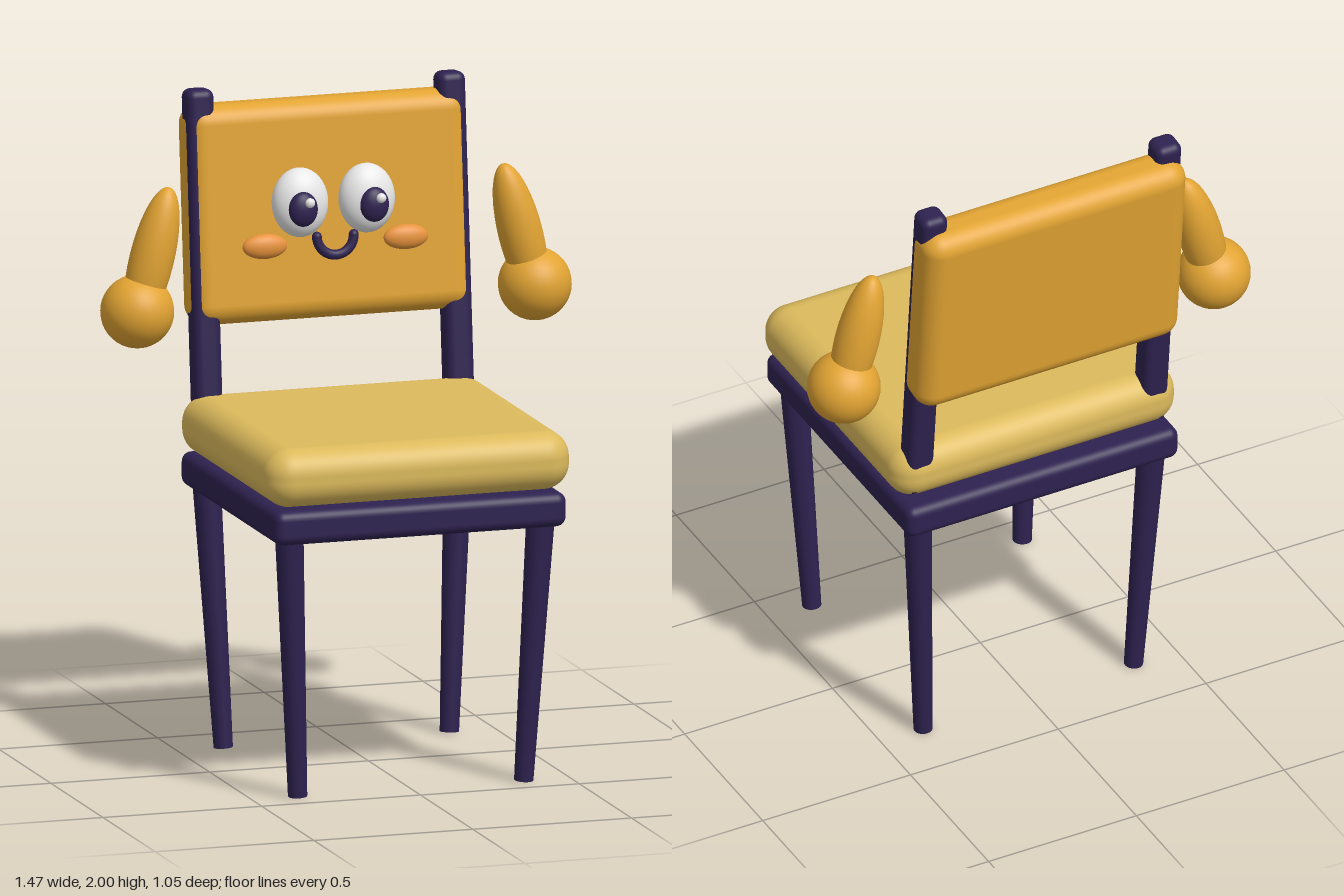
import * as THREE from 'three';
import { RoundedBoxGeometry } from 'three/addons/geometries/RoundedBoxGeometry.js';

const flat = (name, color) => {
  const m = new THREE.MeshStandardMaterial({ color });
  m.name = name;
  return m;
};

export function createModel() {
  const model = new THREE.Group();
  model.name = 'chairCharacter';

  const wood = flat('darkPurple', 0x2e2250);
  const orange = flat('goldenOrange', 0xe2a433);
  const cushionMat = flat('paleGold', 0xdcba5c);
  const white = flat('eyeWhite', 0xf4f4f4);
  const blush = flat('blushOrange', 0xe8933c);

  const add = (name, geometry, material, x, y, z, parent = model) => {
    const mesh = new THREE.Mesh(geometry, material);
    mesh.name = name;
    mesh.position.set(x, y, z);
    parent.add(mesh);
    return mesh;
  };
  const ellipsoid = (rx, ry, rz) => new THREE.SphereGeometry(1, 32, 20).scale(rx, ry, rz);
  const up = new THREE.Vector3(0, 1, 0);
  const lean = -0.095; // backward tilt of the backrest

  // Seat
  add('seatFrame', new RoundedBoxGeometry(0.92, 0.105, 0.93, 4, 0.03), wood, 0, 0.843, 0.05);
  add('seatCushion', new RoundedBoxGeometry(0.96, 0.18, 0.92, 6, 0.08), cushionMat, 0, 0.99, 0.068);

  // Tapered legs, splayed from the floor to the frame
  const leg = (name, bottom, top) => {
    const dir = top.clone().sub(bottom);
    const mid = top.clone().add(bottom).multiplyScalar(0.5);
    const mesh = add(name, new THREE.CylinderGeometry(0.043, 0.029, dir.length(), 20), wood, mid.x, mid.y, mid.z);
    mesh.quaternion.setFromUnitVectors(up, dir.normalize());
  };

  for (const s of [1, -1]) {
    const side = s > 0 ? 'left' : 'right';
    leg(side + 'FrontLeg', new THREE.Vector3(s * 0.356, 0.001, 0.405), new THREE.Vector3(s * 0.396, 0.82, 0.446));
    leg(side + 'BackLeg', new THREE.Vector3(s * 0.356, 0.001, -0.308), new THREE.Vector3(s * 0.396, 0.82, -0.348));

    // Back post
    add(side + 'BackPost', new RoundedBoxGeometry(0.086, 1.08, 0.086, 4, 0.026), wood, s * 0.396, 1.458, -0.384)
      .rotation.x = lean;

    // Floating arm and hand
    const arm = new THREE.Group();
    arm.name = side + 'Arm';
    model.add(arm);
    add(side + 'Forearm', ellipsoid(0.067, 0.225, 0.067), orange, s * 0.581, 1.51, -0.31, arm)
      .rotation.z = s * 0.25;
    add(side + 'Hand', ellipsoid(0.111, 0.111, 0.111), orange, s * 0.626, 1.354, -0.311, arm);
  }

  // Backrest panel
  add('backrest', new RoundedBoxGeometry(0.885, 0.665, 0.15, 6, 0.06), orange, 0, 1.612, -0.421)
    .rotation.x = lean;

  // Face
  const face = new THREE.Group();
  face.name = 'face';
  model.add(face);
  for (const s of [1, -1]) {
    const side = s > 0 ? 'left' : 'right';
    add(side + 'Eye', ellipsoid(0.087, 0.105, 0.06), white, s * 0.105, 1.647, -0.337, face).rotation.x = lean;
    add(side + 'Pupil', ellipsoid(0.045, 0.053, 0.028), wood, s * 0.112, 1.637, -0.284, face).rotation.x = lean;
    add(side + 'EyeGlint', ellipsoid(0.015, 0.015, 0.012), white, s * 0.112 + 0.014, 1.66, -0.259, face);
    add(side + 'Cheek', ellipsoid(0.07, 0.038, 0.026), blush, s * 0.222, 1.524, -0.317, face).rotation.x = lean;
  }

  // Smile: half ring with rounded ends
  const smile = new THREE.Group();
  smile.name = 'smile';
  smile.position.set(0, 1.542, -0.318);
  smile.rotation.x = lean;
  face.add(smile);
  add('smileCurve', new THREE.TorusGeometry(0.058, 0.015, 12, 28, Math.PI), wood, 0, 0, 0, smile).rotation.z = Math.PI;
  for (const s of [1, -1]) add('smileEnd', ellipsoid(0.015, 0.015, 0.015), wood, s * 0.058, 0, 0, smile);

  return model;
}
